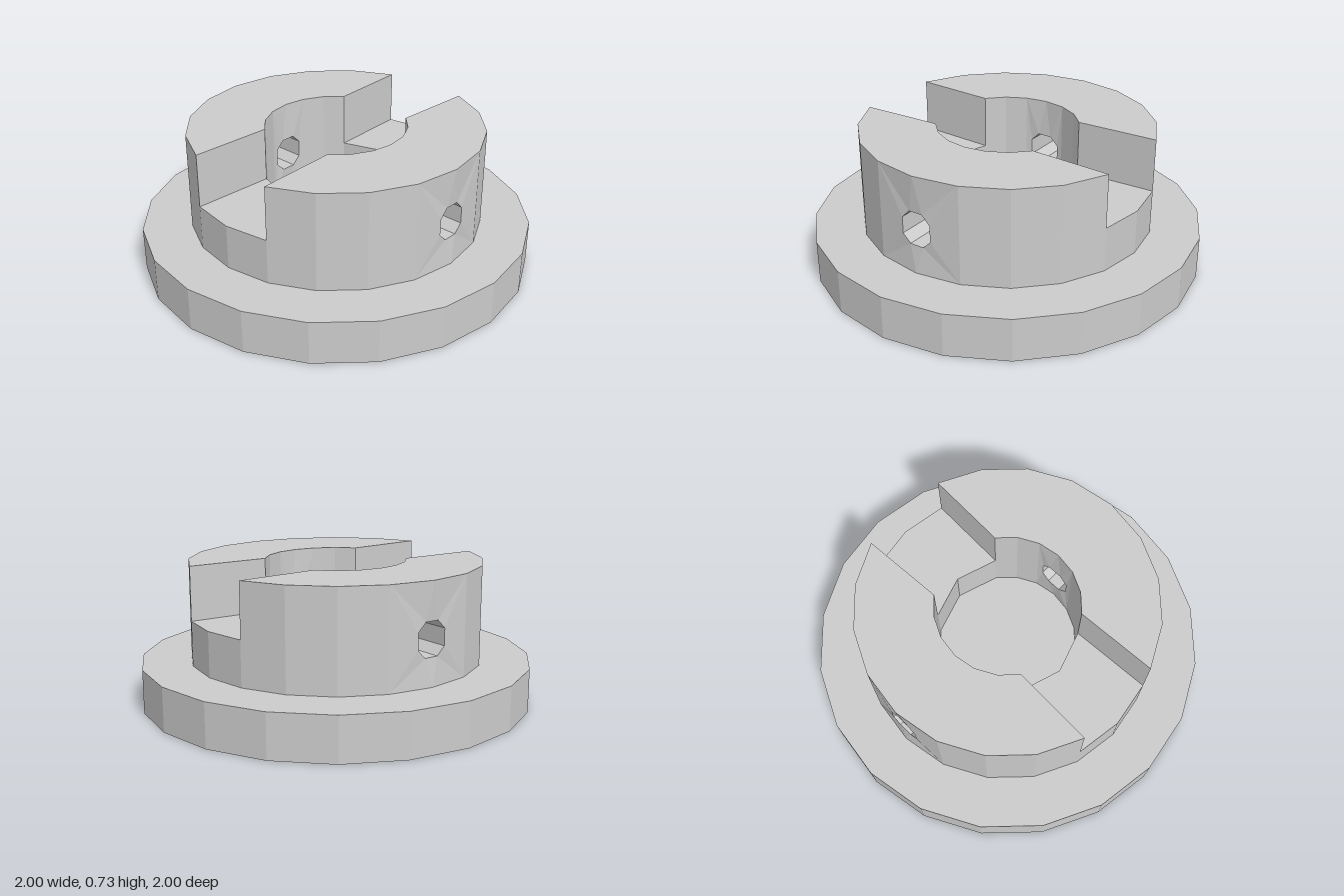
import * as THREE from 'three';

const SIDES = 20, R_OUT = 0.75, R_BORE = 0.36;
const Y_BASE = 0.222, Y_SLOT = 0.45, Y_TOP = 0.725;

// Point on a 20-sided ring: index 0 is +z, 5 is +x, 10 is -z
const P = (r, i, y) => {
  const a = (i * Math.PI * 2) / SIDES;
  return [r * Math.sin(a), y, r * Math.cos(a)];
};

// Collects flat polygons as triangle fans
class Faces {
  constructor() { this.pos = []; }
  add(...c) {
    for (let k = 1; k < c.length - 1; k++) this.pos.push(...c[0], ...c[k], ...c[k + 1]);
  }
  wall(r, i, j, lo, hi) {
    this.add(P(r, i, lo), P(r, j, lo), P(r, j, hi), P(r, i, hi));
  }
  mesh(name, material) {
    const g = new THREE.BufferGeometry();
    g.setAttribute('position', new THREE.Float32BufferAttribute(this.pos, 3));
    g.computeVertexNormals();
    const m = new THREE.Mesh(g, material);
    m.name = name;
    return m;
  }
}

// Half of the octagonal cross hole, as [z, y], from top to bottom
const HOLE = [[0.037, 0.533], [0.08, 0.49], [0.08, 0.405], [0.037, 0.363]];
const holePoint = (x, k, s) => [x, HOLE[k][1], s * HOLE[k][0]];

// The two wall panels that meet on the x axis, pierced by the cross hole
function piercedPanels(f, r, x, inward) {
  const put = (flip, ...c) => f.add(...(flip !== inward ? c.reverse() : c));
  const A = P(r, 5, Y_TOP), D = P(r, 5, Y_BASE);
  for (const s of [1, -1]) {
    const B = P(r, 5 - s, Y_TOP), C = P(r, 5 - s, Y_BASE);
    const H = [0, 1, 2, 3].map((k) => holePoint(x, k, s));
    const flip = s < 0;
    put(flip, A, B, H[0]);
    put(flip, B, H[1], H[0]);
    put(flip, B, C, H[1]);
    put(flip, C, H[2], H[1]);
    put(flip, C, H[3], H[2]);
    put(flip, C, D, H[3]);
  }
  put(false, A, holePoint(x, 0, 1), holePoint(x, 0, -1));
  put(false, D, holePoint(x, 3, -1), holePoint(x, 3, 1));
}

// One raised half of the hub, on +x
function jaw(name, material) {
  const f = new Faces();
  const bore = (i) => Math.min(8, Math.max(2, i));
  for (let i = 1; i < 9; i++) {
    const pierced = i === 4 || i === 5;
    if (!pierced) {
      f.wall(R_OUT, i, i + 1, Y_BASE, Y_TOP);
      if (i > 1 && i < 8) f.wall(R_BORE, i + 1, i, Y_BASE, Y_TOP);
    }
    f.add(P(R_OUT, i, Y_TOP), P(R_OUT, i + 1, Y_TOP),
      P(R_BORE, bore(i + 1), Y_TOP), P(R_BORE, bore(i), Y_TOP));
  }
  piercedPanels(f, R_OUT, 0.735, false);
  piercedPanels(f, R_BORE, 0.35, true);
  // Slot side walls
  f.add(P(R_BORE, 2, Y_SLOT), P(R_OUT, 1, Y_SLOT), P(R_OUT, 1, Y_TOP), P(R_BORE, 2, Y_TOP));
  f.add(P(R_OUT, 9, Y_SLOT), P(R_BORE, 8, Y_SLOT), P(R_BORE, 8, Y_TOP), P(R_OUT, 9, Y_TOP));
  return f.mesh(name, material);
}

// Lining of the octagonal cross hole on +x
function crossHole(name, material) {
  const f = new Faces();
  const ring = (x) => [
    ...[0, 1, 2, 3].map((k) => holePoint(x, k, 1)),
    ...[3, 2, 1, 0].map((k) => holePoint(x, k, -1)),
  ];
  const a = ring(0.735), b = ring(0.35);
  for (let k = 0; k < 8; k++) {
    const n = (k + 1) % 8;
    f.add(a[k], a[n], b[n], b[k]);
  }
  return f.mesh(name, material);
}

// Low bridge under the slot, at -z
function slotBridge(name, material) {
  const f = new Faces();
  for (const [o0, o1, b0, b1] of [[9, 10, 8, 10], [10, 11, 10, 12]]) {
    f.wall(R_OUT, o0, o1, Y_BASE, Y_SLOT);
    f.wall(R_BORE, b1, b0, Y_BASE, Y_SLOT);
    f.add(P(R_OUT, o0, Y_SLOT), P(R_OUT, o1, Y_SLOT), P(R_BORE, b1, Y_SLOT), P(R_BORE, b0, Y_SLOT));
  }
  return f.mesh(name, material);
}

export function createModel() {
  const group = new THREE.Group();
  const material = new THREE.MeshStandardMaterial({
    color: 0xcccccc, flatShading: true, side: THREE.DoubleSide,
  });

  // Base flange: rim and top, open underneath
  const profile = [[1, 0], [1, Y_BASE], [R_OUT, Y_BASE]].map((p) => new THREE.Vector2(...p));
  const flange = new THREE.Mesh(new THREE.LatheGeometry(profile, SIDES), material);
  flange.name = 'baseFlange';
  group.add(flange);

  // Bore floor
  const floor = new Faces();
  const corners = [0, 2, 3, 4, 5, 6, 7, 8, 10, 12, 13, 14, 15, 16, 17, 18];
  floor.add(...corners.map((i) => P(R_BORE, i, Y_BASE)));
  group.add(floor.mesh('boreFloor', material));

  // Jaws, cross holes and slot bridges, repeated by a half turn
  ['left', 'right'].forEach((side, k) => {
    const end = k ? 'front' : 'back';
    for (const part of [
      jaw(side + 'Jaw', material),
      crossHole(side + 'CrossHole', material),
      slotBridge(end + 'SlotBridge', material),
    ]) {
      part.rotation.y = k * Math.PI;
      group.add(part);
    }
  });
  return group;
}
